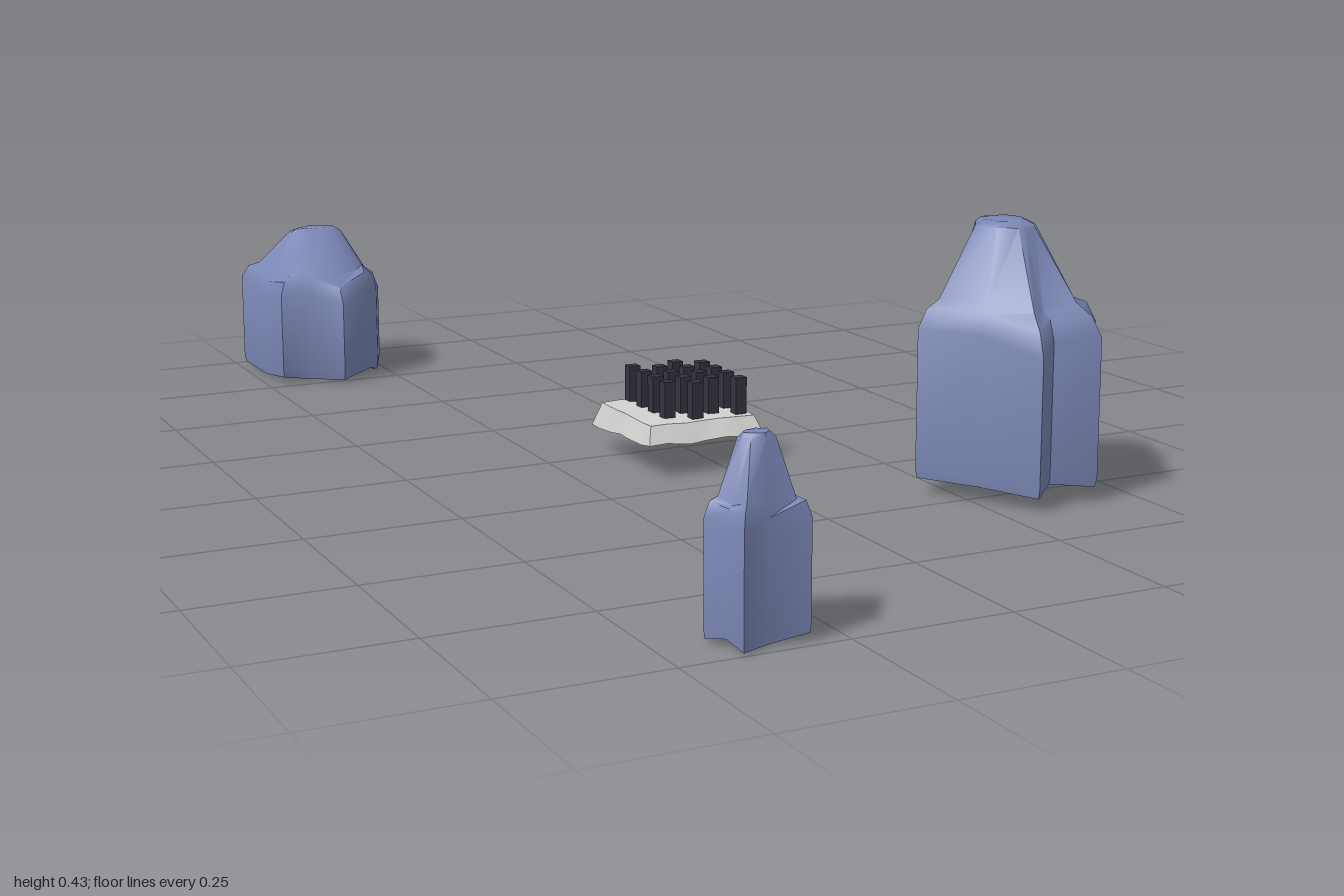
import * as THREE from 'three';
import { toCreasedNormals } from 'three/addons/utils/BufferGeometryUtils.js';

const rockMat = new THREE.MeshStandardMaterial({ color: 0x7a86b4 });
const slabMat = new THREE.MeshStandardMaterial({ color: 0xd2d2d0, side: THREE.DoubleSide });
const postMat = new THREE.MeshStandardMaterial({ color: 0x34343f });
rockMat.name = 'slate blue rock';
slabMat.name = 'pale grey slab';
postMat.name = 'charcoal post';

// Skins a stack of closed rings (bottom to top), closing the top and optionally the bottom
function loft(rings, closeBottom, crease) {
  const pos = [];
  const tri = (...pts) => pts.forEach(p => pos.push(p.x, p.y, p.z));
  const centre = ring => ring.reduce((s, p) => s.add(p), new THREE.Vector3()).divideScalar(ring.length);
  const n = rings[0].length;
  const last = rings[rings.length - 1];
  const low = centre(rings[0]), high = centre(last);
  for (let i = 0; i < n; i++) {
    const j = (i + 1) % n;
    for (let r = 0; r < rings.length - 1; r++) {
      const a = rings[r], b = rings[r + 1];
      tri(a[i], b[i], a[j]);
      tri(a[j], b[i], b[j]);
    }
    tri(high, last[j], last[i]);
    if (closeBottom) tri(low, rings[0][i], rings[0][j]);
  }
  const geo = new THREE.BufferGeometry();
  geo.setAttribute('position', new THREE.Float32BufferAttribute(pos, 3));
  return toCreasedNormals(geo, crease);
}

// Upright rock: lobed walls, a rounded shoulder and a narrow blunt peak
function makeRock(name, { plan, base, wall, shoulder, top, peak, half, inset }) {
  const [cx, cz] = peak;
  const ring = (t, y, wobble, phase) => plan.map(([x, z], i) => {
    const angle = Math.atan2(z - cz, x - cx);
    const tx = cx + Math.cos(angle) * half[0];
    const tz = cz + Math.sin(angle) * half[1];
    return new THREE.Vector3(
      THREE.MathUtils.lerp(x, tx, t),
      y + wobble * Math.sin(i * 2.3 + phase),
      THREE.MathUtils.lerp(z, tz, t));
  });
  const rings = [
    ring(0.03, base + 0.006, 0.006, 0),
    ring(0, base + 0.02, 0.004, 0),
    ring(0, wall, 0.015, 1),
    ring(inset * 0.4, (wall + shoulder) / 2 + 0.008, 0.01, 1),
    ring(inset, shoulder, 0.006, 2),
    ring(0.97, top - 0.008, 0, 0),
    ring(1.15, top, 0, 0),
  ];
  const mesh = new THREE.Mesh(loft(rings, true, 0.75), rockMat);
  mesh.name = name;
  return mesh;
}

// Hollow slab with sloping sides and a ragged lower rim
function makeSlab() {
  const steps = 6;
  const rim = (x0, x1, z0, z1, yAt, rough) => {
    const corners = [[x0, z0], [x1, z0], [x1, z1], [x0, z1]];
    const pts = [];
    corners.forEach(([ax, az], c) => {
      const [bx, bz] = corners[(c + 1) % 4];
      for (let s = 0; s < steps; s++) {
        const k = pts.length, t = s / steps;
        const x = THREE.MathUtils.lerp(ax, bx, t);
        const z = THREE.MathUtils.lerp(az, bz, t);
        pts.push(new THREE.Vector3(
          x + rough * Math.sin(k * 2.1),
          yAt(z) + rough * Math.sin(k * 1.9),
          z + rough * Math.cos(k * 2.7)));
      }
    });
    return pts;
  };
  const lower = rim(-0.146, 0.063, -0.058, 0.173, z => 0.046 + z * 0.05, 0.003);
  const upper = rim(-0.135, 0.054, -0.037, 0.155, () => 0.084, 0.001);
  const mesh = new THREE.Mesh(loft([lower, upper], false, 0.5), slabMat);
  mesh.name = 'slab';
  return mesh;
}

export function createModel() {
  const model = new THREE.Group();
  model.name = 'rocksAndSlab';

  model.add(makeRock('largeRock', {
    plan: [[0.195, 0.434], [0.28, 0.372], [0.365, 0.32], [0.4, 0.386], [0.44, 0.39], [0.447, 0.44],
      [0.487, 0.497], [0.443, 0.545], [0.425, 0.6], [0.35, 0.58], [0.307, 0.615], [0.25, 0.53]],
    base: 0.02, wall: 0.255, shoulder: 0.307, top: 0.435, peak: [0.335, 0.457], half: [0.045, 0.05], inset: 0.36,
  }));
  model.add(makeRock('backRock', {
    plan: [[-0.487, -0.98], [-0.38, -0.985], [-0.275, -1], [-0.27, -0.94], [-0.243, -0.873], [-0.265, -0.82],
      [-0.29, -0.785], [-0.36, -0.735], [-0.41, -0.772], [-0.47, -0.772], [-0.477, -0.87]],
    base: 0, wall: 0.165, shoulder: 0.202, top: 0.278, peak: [-0.362, -0.898], half: [0.05, 0.033], inset: 0.36,
  }));
  model.add(makeRock('smallRock', {
    plan: [[-0.43, 0.93], [-0.403, 0.885], [-0.37, 0.863], [-0.345, 0.885], [-0.307, 0.88], [-0.312, 0.92],
      [-0.302, 0.985], [-0.36, 0.98], [-0.407, 0.998], [-0.413, 0.96]],
    base: 0, wall: 0.155, shoulder: 0.19, top: 0.278, peak: [-0.363, 0.946], half: [0.025, 0.02], inset: 0.42,
  }));
  model.add(makeSlab());

  // Staggered grid of posts standing through the slab
  const posts = new THREE.Group();
  posts.name = 'posts';
  const postGeo = new THREE.BoxGeometry(0.02, 0.067, 0.02);
  for (let col = 0; col < 4; col++) {
    for (let row = 0; row < 4; row++) {
      const post = new THREE.Mesh(postGeo, postMat);
      post.name = 'post';
      post.position.set(-0.082 + col * 0.04, 0.1115, -0.027 + row * 0.045 + (col % 2) * 0.0225);
      posts.add(post);
    }
  }
  model.add(posts);
  return model;
}
